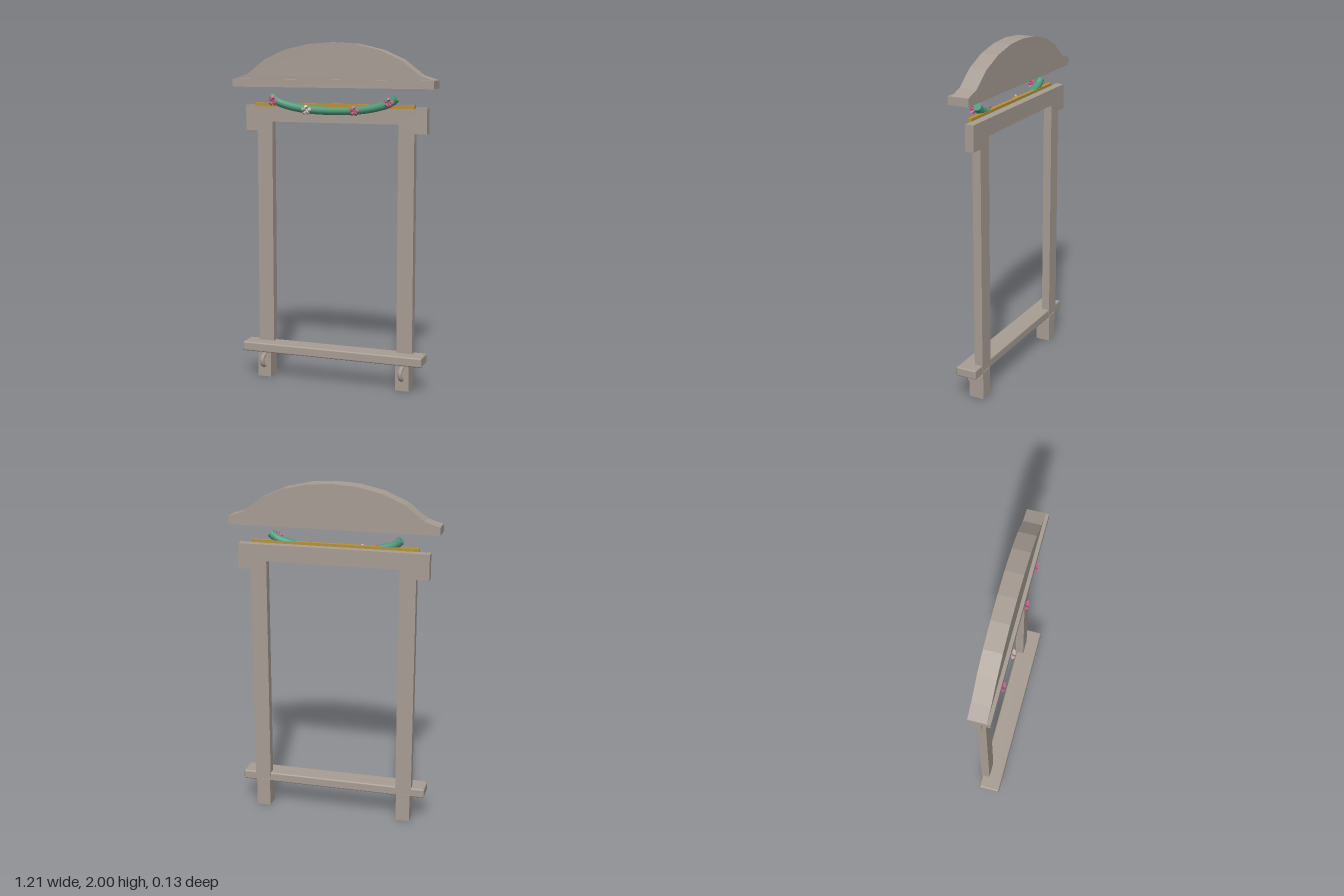
import * as THREE from 'three';
import { RoundedBoxGeometry } from 'three/addons/geometries/RoundedBoxGeometry.js';

export function createModel() {
  const group = new THREE.Group();
  const material = (name, color) => {
    const m = new THREE.MeshStandardMaterial({ color });
    m.name = name;
    return m;
  };
  const stone = material('warm grey stone', 0xa79d94);
  const green = material('garland green', 0x4f9a7c);
  const gold = material('gold', 0xb8923a);
  const pink = material('pink', 0xd0688f);
  const pale = material('pale blossom', 0xd8c4bc);

  const add = (name, geometry, mat, x = 0, y = 0, z = 0, parent = group) => {
    const mesh = new THREE.Mesh(geometry, mat);
    mesh.name = name;
    mesh.position.set(x, y, z);
    parent.add(mesh);
    return mesh;
  };
  const box = (w, h, d) => new THREE.BoxGeometry(w, h, d);
  // Closed outline mirrored about x = 0, given by its right half from top to bottom
  const mirroredExtrude = (half, depth) => {
    const left = half.map(([x, y]) => [-x, y]).reverse();
    const pts = [...half, ...left].map(([x, y]) => new THREE.Vector2(x, y));
    return new THREE.ExtrudeGeometry(new THREE.Shape(pts), { depth, bevelEnabled: false });
  };

  // Curved pediment and its base slab
  const crown = [[0.001, 2], [0.14, 1.991], [0.285, 1.958], [0.41, 1.903], [0.52, 1.818], [0.605, 1.79]];
  add('pediment', mirroredExtrude(crown, 0.102), stone, 0, 0, -0.068);
  add('pedimentSlab', box(1.214, 0.046, 0.122), stone, 0, 1.767, -0.007);

  // Lintel and posts cut as one frame
  const frame = [[0.553, 1.636], [0.553, 1.488], [0.48, 1.488], [0.48, 0.19], [0.386, 0.19], [0.386, 1.54]];
  add('frame', mirroredExtrude(frame, 0.05), stone, 0, 0, -0.065);

  // Sill with softened edges
  add('sill', new RoundedBoxGeometry(1.114, 0.056, 0.125, 2, 0.009), stone, 0, 0.187, 0.001);

  // Feet, each with a ring on the front
  for (const [side, s] of [['left', 1], ['right', -1]]) {
    add(side + 'Foot', box(0.082, 0.17, 0.09), stone, s * 0.432, 0.085, -0.02);
    const ring = add(side + 'Ring', new THREE.TorusGeometry(0.034, 0.013, 8, 20), stone, s * 0.432, 0.102, 0.02);
    ring.rotation.y = Math.PI / 2 - 0.1;
  }

  // Gold rail behind the garland
  add('rail', box(0.972, 0.022, 0.022), gold, 0, 1.641, -0.006);

  // Hanging garland
  const path = new THREE.CatmullRomCurve3(
    [[-0.38, 1.69], [-0.345, 1.662], [-0.26, 1.634], [-0.14, 1.616], [0, 1.611],
      [0.14, 1.616], [0.26, 1.634], [0.345, 1.662], [0.38, 1.69]]
      .map(([x, y]) => new THREE.Vector3(x, y, 0.008)));
  add('garland', new THREE.TubeGeometry(path, 36, 0.024, 10), green);
  for (const t of [0, 1]) {
    const p = path.getPointAt(t), dir = path.getTangentAt(t).multiplyScalar(t ? 1 : -1);
    const cap = add('garlandEnd', new THREE.CircleGeometry(0.024, 10), green, p.x, p.y, p.z);
    cap.quaternion.setFromUnitVectors(new THREE.Vector3(0, 0, 1), dir);
  }

  // Five-petalled blossoms flaring forwards
  const petal = new THREE.ConeGeometry(0.011, 0.034, 5);
  petal.rotateX(Math.PI);
  petal.translate(0, 0.016, 0);
  petal.rotateX(Math.PI / 4);
  const blossoms = [[-0.352, 1.665, pink], [-0.147, 1.615, pale], [0.143, 1.615, pink], [0.348, 1.665, pink]];
  for (const [x, y, mat] of blossoms) {
    const blossom = new THREE.Group();
    blossom.name = 'blossom';
    blossom.position.set(x, y, 0.033);
    for (let i = 0; i < 5; i++) {
      add('petal', petal, mat, 0, 0, 0, blossom).rotation.z = (i * Math.PI * 2) / 5;
    }
    add('blossomHeart', new THREE.IcosahedronGeometry(0.009, 0), mat, 0, 0, 0.003, blossom);
    group.add(blossom);
  }
  return group;
}
